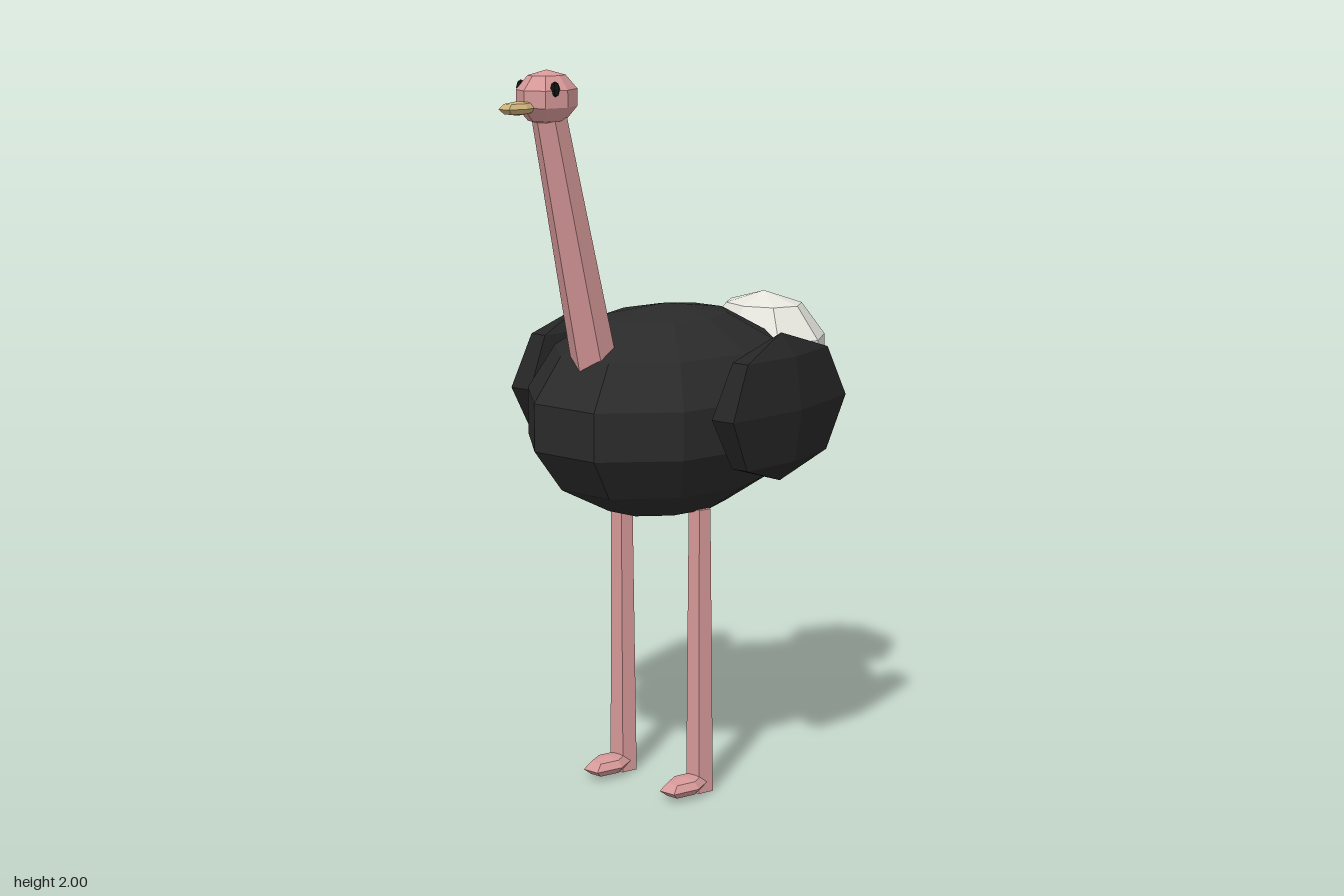
import * as THREE from 'three';

const mat = (name, color) => {
  const m = new THREE.MeshStandardMaterial({ color, flatShading: true });
  m.name = name;
  return m;
};

export function createModel() {
  const model = new THREE.Group();
  model.name = 'flightlessBird';
  const plumage = mat('black plumage', 0x2a2a2a);
  const wingDark = mat('wing black', 0x252525);
  const skin = mat('pink skin', 0xd69898);
  const tailWhite = mat('tail white', 0xe4e4dc);
  const horn = mat('beak tan', 0xcbb078);
  const eyeBlack = mat('eye black', 0x111111);

  const add = (name, geometry, material) => {
    const mesh = new THREE.Mesh(geometry, material);
    mesh.name = name;
    model.add(mesh);
    return mesh;
  };

  // Faceted ellipsoid from centre, radii and segment counts
  const blob = (name, material, [x, y, z], [rx, ry, rz], w, h) =>
    add(name, new THREE.SphereGeometry(1, w, h).scale(rx, ry, rz).translate(x, y, z), material);

  // Tapered prism between two points
  const limb = (name, material, from, to, r0, r1, sides, turn = 0) => {
    const a = new THREE.Vector3(...from), b = new THREE.Vector3(...to);
    const dir = b.clone().sub(a);
    const geometry = new THREE.CylinderGeometry(r1, r0, dir.length(), sides).rotateY(turn);
    const mesh = add(name, geometry, material);
    mesh.position.copy(a).add(b).multiplyScalar(0.5);
    mesh.quaternion.setFromUnitVectors(new THREE.Vector3(0, 1, 0), dir.normalize());
  };

  // Torso and tail
  blob('body', plumage, [0, 1.06, -0.02], [0.342, 0.29, 0.455], 10, 7);
  blob('tail', tailWhite, [0, 1.15, -0.463], [0.2, 0.18, 0.163], 8, 5);

  // Neck, head and beak
  limb('neck', skin, [0, 1.1, 0.246], [0, 1.9, 0.453], 0.064, 0.045, 6);
  blob('head', skin, [0, 1.93, 0.456], [0.0735, 0.07, 0.09], 8, 5);
  blob('beak', horn, [0, 1.91, 0.564], [0.035, 0.018, 0.06], 6, 4);

  // Paired parts
  for (const [side, s] of [['left', 1], ['right', -1]]) {
    blob(side + 'Wing', wingDark, [0.35 * s, 1.1, -0.07], [0.07, 0.2, 0.29], 6, 4);
    blob(side + 'Eye', eyeBlack, [0.057 * s, 1.955, 0.489], [0.014, 0.02, 0.012], 6, 4);
    limb(side + 'Leg', skin, [0.137 * s, 0, 0], [0.137 * s, 0.805, 0.004], 0.039, 0.031, 5, Math.PI);
    blob(side + 'Foot', skin, [0.137 * s, 0.03, 0.067], [0.05, 0.026, 0.09], 6, 4);
  }
  return model;
}
